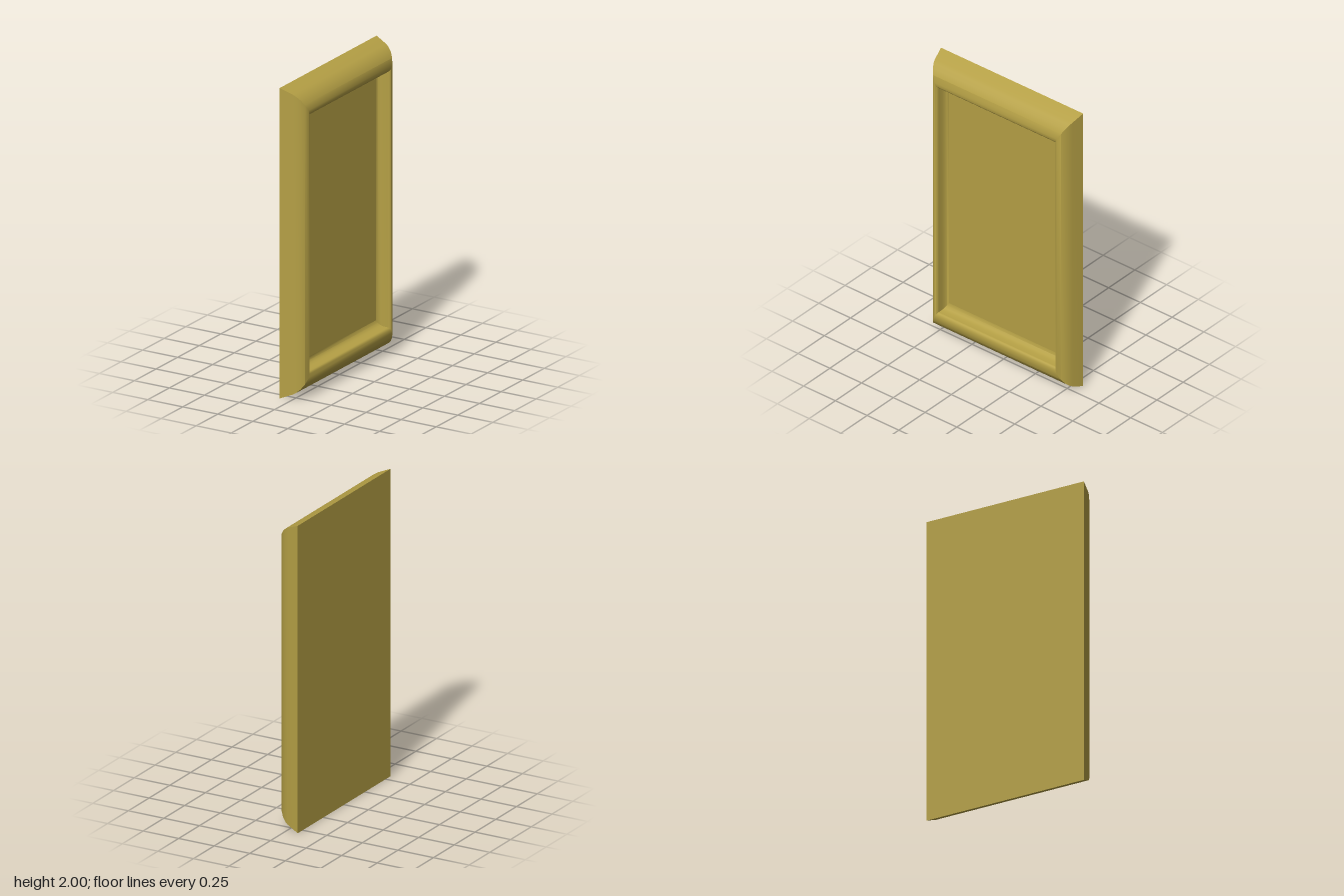
import * as THREE from 'three';
import { toCreasedNormals } from 'three/addons/utils/BufferGeometryUtils.js';

const HEIGHT = 2, WIDTH = 1.12, ASPECT = WIDTH / HEIGHT;
const BACK = -0.08, FLOOR = -0.01, FLOOR_INSET = 0.215;

// Moulding profile from the back edge to the panel: [inset, x]
const outerProfile = [
  [0, BACK], [0.033, 0], [0.045, 0.02], [0.068, 0.045], [0.1, 0.066], [0.138, 0.08],
  [0.16, 0.078], [0.172, 0.07], [0.175, 0.062],
];
const innerProfile = [
  [0.175, 0.062], [0.177, 0.03], [0.183, 0.012], [0.196, -0.004], [FLOOR_INSET, FLOOR],
];

// Four corners of a rectangle inset from the outline, counter-clockwise seen from +x
function ring([inset, x]) {
  const z = WIDTH / 2 - inset * ASPECT;
  const low = inset, high = HEIGHT - inset;
  return [[x, low, z], [x, low, -z], [x, high, -z], [x, high, z]];
}

// Lofts a profile around the rectangular outline with mitred corners
function moulding(profile) {
  const rings = profile.map(ring);
  const index = [];
  for (let i = 0; i < rings.length - 1; i++) {
    for (let j = 0; j < 4; j++) {
      const k = (j + 1) % 4;
      const a = i * 4 + j, b = i * 4 + k, c = b + 4, d = a + 4;
      index.push(a, b, c, a, c, d);
    }
  }
  const geometry = new THREE.BufferGeometry();
  geometry.setAttribute('position', new THREE.Float32BufferAttribute(rings.flat(2), 3));
  geometry.setIndex(index);
  return toCreasedNormals(geometry, Math.PI / 4);
}

export function createModel() {
  const model = new THREE.Group();
  model.name = 'cabinetDoor';
  const material = new THREE.MeshStandardMaterial({ color: 0xb5a045 });

  const add = (name, geometry) => {
    const mesh = new THREE.Mesh(geometry, material);
    mesh.name = name;
    model.add(mesh);
    return mesh;
  };

  // Rounded frame and the coved step inside it
  add('frame', moulding(outerProfile));
  add('innerCove', moulding(innerProfile));

  // Recessed centre panel
  const panel = add('panel', new THREE.PlaneGeometry(
    WIDTH - 2 * FLOOR_INSET * ASPECT, HEIGHT - 2 * FLOOR_INSET));
  panel.rotation.y = Math.PI / 2;
  panel.position.set(FLOOR, HEIGHT / 2, 0);

  // Flat back
  const back = add('back', new THREE.PlaneGeometry(WIDTH, HEIGHT));
  back.rotation.y = -Math.PI / 2;
  back.position.set(BACK, HEIGHT / 2, 0);

  return model;
}
